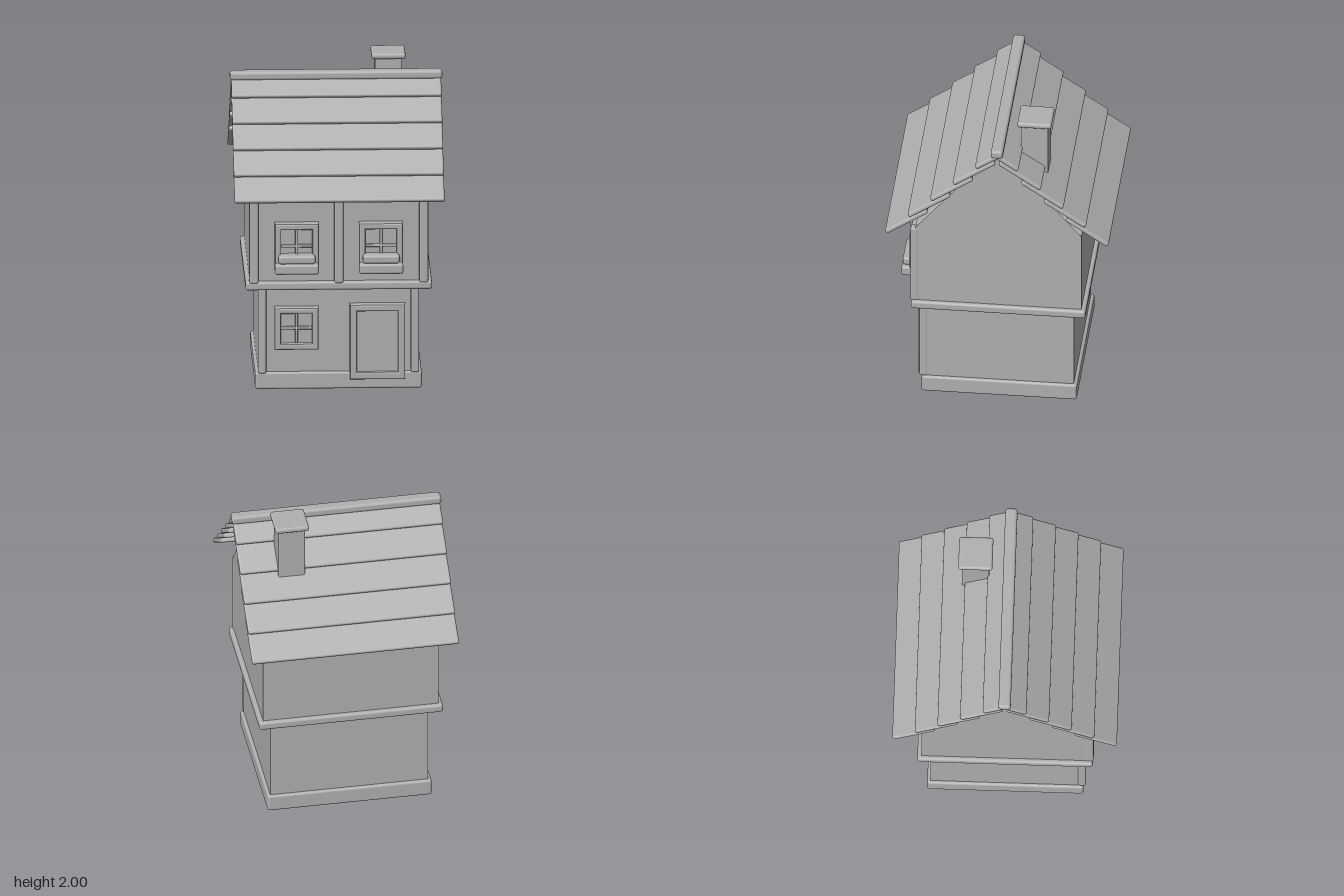
import * as THREE from 'three';
import { RoundedBoxGeometry } from 'three/addons/geometries/RoundedBoxGeometry.js';

const clay = new THREE.MeshStandardMaterial({ color: 0xb0b0b0, side: THREE.DoubleSide });
clay.name = 'grey clay';

function add(parent, name, geometry) {
  const mesh = new THREE.Mesh(geometry, clay);
  mesh.name = name;
  parent.add(mesh);
  return mesh;
}

// Box given by its limits; r rounds the edges, 0 keeps them sharp
function box(parent, name, [x0, x1], [y0, y1], [z0, z1], r = 0.012) {
  const size = [x1 - x0, y1 - y0, z1 - z0];
  const geometry = r ? new RoundedBoxGeometry(...size, 3, r) : new THREE.BoxGeometry(...size);
  const mesh = add(parent, name, geometry);
  mesh.position.set((x0 + x1) / 2, (y0 + y1) / 2, (z0 + z1) / 2);
  return mesh;
}

function rectangle(path, x0, x1, y0, y1) {
  path.moveTo(x0, y0).lineTo(x1, y0).lineTo(x1, y1).lineTo(x0, y1).closePath();
  return path;
}

// Bevelled frame with a rectangular opening
function frame(parent, name, outer, inner, z0, z1) {
  const shape = rectangle(new THREE.Shape(), ...outer);
  shape.holes.push(rectangle(new THREE.Path(), ...inner));
  const b = 0.01;
  const geometry = new THREE.ExtrudeGeometry(shape, {
    depth: z1 - z0 - 2 * b, bevelSize: b, bevelThickness: b, bevelOffset: -b, bevelSegments: 2,
  });
  add(parent, name, geometry).position.z = z0 + b;
}

// Four-pane window; wall is the z of the wall it sits on
function makeWindow(parent, name, cx, [y0, y1], [paneY0, paneY1], barY, wall) {
  const g = new THREE.Group();
  g.name = name;
  parent.add(g);
  const w = 0.097;
  frame(g, 'windowFrame', [cx - 0.137, cx + 0.137, y0, y1], [cx - w, cx + w, paneY0, paneY1], wall - 0.01, wall + 0.055);
  box(g, 'windowPane', [cx - w, cx + w], [paneY0, paneY1], [wall - 0.01, wall + 0.025], 0);
  box(g, 'verticalBar', [cx - 0.009, cx + 0.009], [paneY0, paneY1], [wall, wall + 0.042], 0.006);
  box(g, 'horizontalBar', [cx - w, cx + w], [barY - 0.009, barY + 0.009], [wall, wall + 0.042], 0.006);
  return g;
}

export function createModel() {
  const house = new THREE.Group();
  house.name = 'house';

  // Storeys
  box(house, 'plinth', [-0.52, 0.52], [0, 0.11], [-0.487, 0.487], 0.015);
  box(house, 'lowerWalls', [-0.5, 0.5], [0.1, 0.67], [-0.467, 0.467], 0);
  box(house, 'floorBand', [-0.582, 0.582], [0.655, 0.71], [-0.547, 0.547], 0.016);
  box(house, 'upperWalls', [-0.555, 0.555], [0.7, 1.255], [-0.52, 0.52], 0);

  // Front timber posts
  for (const s of [-1, 1]) {
    box(house, 'lowerPost', [s * 0.477 - 0.026, s * 0.477 + 0.026], [0.105, 0.66], [0.45, 0.503]);
  }
  for (const x of [-0.53, 0, 0.53]) {
    box(house, 'upperPost', [x - 0.028, x + 0.028], [0.7, 1.245], [0.5, 0.552]);
  }

  // Gable triangles, flush with the side walls
  for (const s of [-1, 1]) {
    const triangle = new THREE.Shape([
      new THREE.Vector2(-0.52, 1.255), new THREE.Vector2(0.52, 1.255), new THREE.Vector2(0, 1.875),
    ]);
    const gable = add(house, 'gable', new THREE.ShapeGeometry(triangle));
    gable.rotation.y = s * Math.PI / 2;
    gable.position.x = s * 0.555;
  }

  // Overlapping roof boards, five rows on each slope
  const tilt = 0.59, thick = 0.03, cos = Math.cos(tilt), sin = Math.sin(tilt);
  for (const turn of [0, Math.PI]) {
    const slope = new THREE.Group();
    slope.name = turn ? 'backRoof' : 'frontRoof';
    slope.rotation.y = turn;
    house.add(slope);
    for (let row = 0; row < 5; row++) {
      const length = row < 4 ? 0.31 : 0.17;
      const board = add(slope, 'roofBoard', new RoundedBoxGeometry(1.31, thick, length, 3, 0.012));
      board.position.set(
        0,
        1.255 + 0.131 * row + thick / 2 * cos + length / 2 * sin,
        0.705 - 0.141 * row - thick / 2 * sin - length / 2 * cos,
      );
      board.rotation.x = tilt;
    }
  }
  box(house, 'ridgeBeam', [-0.663, 0.663], [1.873, 1.928], [-0.038, 0.038], 0.018);

  // Chimney on the back slope
  box(house, 'chimneyStack', [0.247, 0.417], [1.3, 1.975], [-0.296, -0.125], 0.01);
  box(house, 'chimneyCap', [0.225, 0.438], [1.964, 2], [-0.318, -0.105], 0.015);

  // Windows, the upper ones with stepped sills
  makeWindow(house, 'lowerWindow', -0.263, [0.262, 0.533], [0.302, 0.495], 0.4, 0.467);
  for (const s of [-1, 1]) {
    const x = s * 0.263;
    const g = makeWindow(house, 'upperWindow', x, [0.79, 1.092], [0.87, 1.052], 0.945, 0.52);
    box(g, 'innerSill', [x - 0.115, x + 0.115], [0.842, 0.896], [0.52, 0.62], 0.016);
    box(g, 'outerSill', [x - 0.137, x + 0.137], [0.776, 0.842], [0.52, 0.627], 0.016);
  }

  // Door
  frame(house, 'doorFrame', [0.07, 0.415, 0.066, 0.55], [0.115, 0.37, 0.115, 0.506], 0.45, 0.518);
  box(house, 'doorPanel', [0.113, 0.372], [0.113, 0.508], [0.45, 0.5], 0);

  return house;
}
